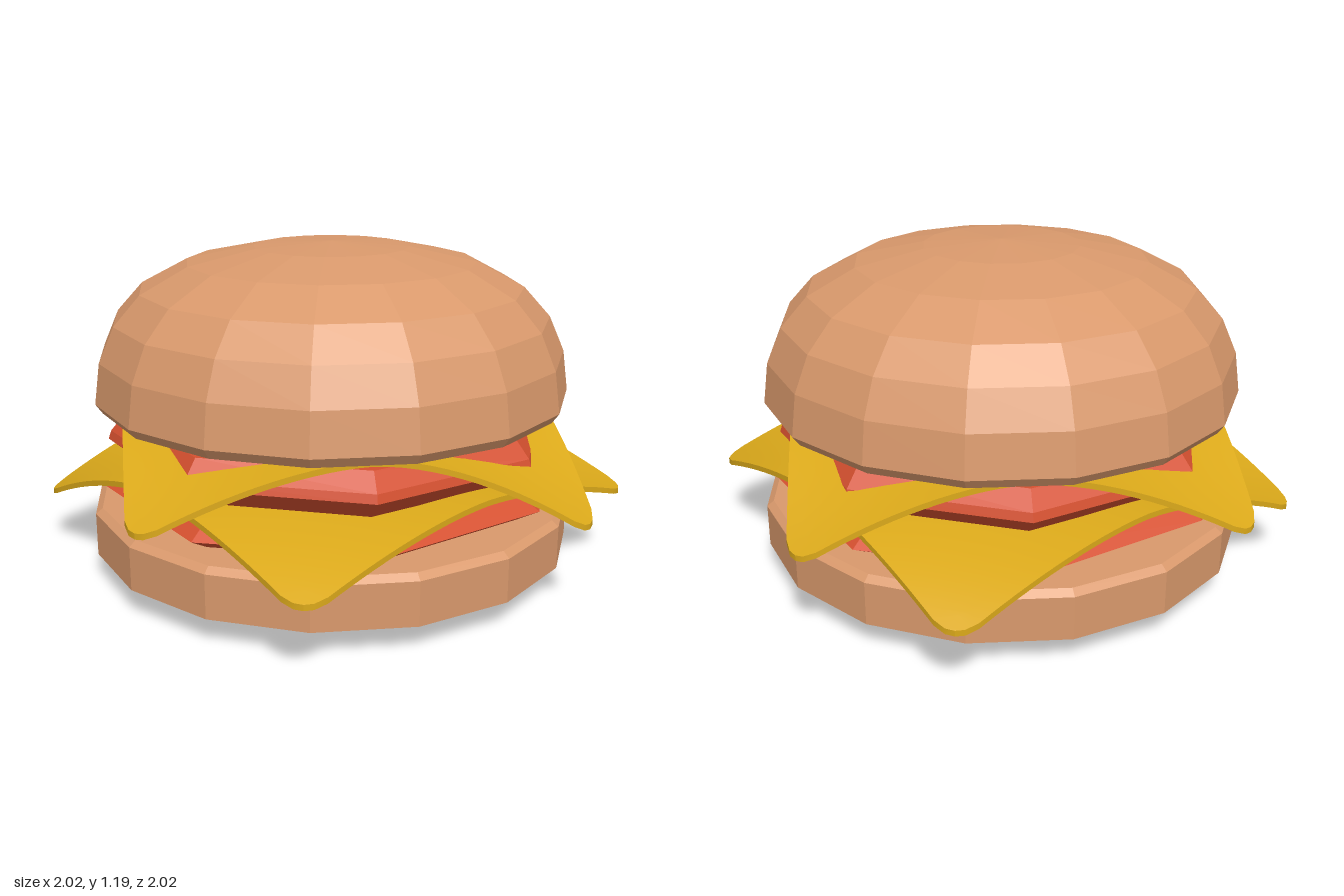
import * as THREE from 'three';

const material = (color, flatShading) => new THREE.MeshStandardMaterial({ color, flatShading });
const bread = material(0xd9996c, true);
const red = material(0xd5502f, true);
const yellow = material(0xdba91a, false);

// Faceted round part turned from a [radius, height] profile, bottom to top
function turned(name, profile, sides, mat, turn = 0) {
  const points = profile.map(([r, y]) => new THREE.Vector2(r, y));
  const geometry = new THREE.LatheGeometry(points, sides).toNonIndexed();
  geometry.computeVertexNormals();
  const mesh = new THREE.Mesh(geometry, mat);
  mesh.name = name;
  mesh.rotation.y = turn;
  return mesh;
}

// Thin square slice with rounded corners that droop; drops are listed
// for the corners (+x+z), (+x-z), (-x+z), (-x-z)
function cheeseSlice(name, half, y, drops, turn) {
  const round = 0.1, thickness = 0.02, inner = half - round;
  const geometry = new THREE.BoxGeometry(2 * half, thickness, 2 * half, 32, 1, 32);
  const pos = geometry.attributes.position;
  for (let i = 0; i < pos.count; i++) {
    let x = pos.getX(i), z = pos.getZ(i);
    const dx = Math.abs(x) - inner, dz = Math.abs(z) - inner;
    if (dx > 0 && dz > 0) {
      const k = Math.max(dx, dz) / Math.hypot(dx, dz);
      x = Math.sign(x) * (inner + dx * k);
      z = Math.sign(z) * (inner + dz * k);
    }
    const drop = drops[(x < 0 ? 2 : 0) + (z < 0 ? 1 : 0)];
    const fold = Math.pow(Math.abs(x * z) / (half * half), 1.7);
    pos.setXYZ(i, x, pos.getY(i) - drop * fold, z);
  }
  geometry.computeVertexNormals();
  const mesh = new THREE.Mesh(geometry, yellow);
  mesh.name = name;
  mesh.position.y = y;
  mesh.rotation.y = turn;
  return mesh;
}

export function createModel() {
  const group = new THREE.Group();
  group.name = 'cheeseburger';

  // Buns
  group.add(turned('bottomBun', [
    [0, 0], [0.3, 0.01], [0.6, 0.025], [0.77, 0.045], [0.885, 0.095],
    [0.885, 0.25], [0.86, 0.27], [0, 0.275],
  ], 16, bread));
  group.add(turned('topBun', [
    [0, 0.62], [0.84, 0.62], [0.865, 0.655], [0.845, 0.8], [0.79, 0.925],
    [0.695, 1.03], [0.525, 1.12], [0.28, 1.172], [0, 1.19],
  ], 16, bread));

  // Red slices
  group.add(turned('lowerSlice', [
    [0, 0.275], [0.76, 0.28], [0.84, 0.325], [0.76, 0.375], [0, 0.385],
  ], 8, red, 0.3));
  group.add(turned('upperSlice', [
    [0, 0.41], [0.73, 0.415], [0.82, 0.49], [0.81, 0.52], [0.76, 0.58], [0, 0.59],
  ], 8, red, 0.25));

  // Cheese
  group.add(cheeseSlice('lowerCheese', 0.79, 0.415, [0.16, 0.16, 0.23, 0.18], 0));
  group.add(cheeseSlice('upperCheese', 0.765, 0.605, [0.23, 0.31, 0.26, 0.27], -0.54));

  return group;
}
